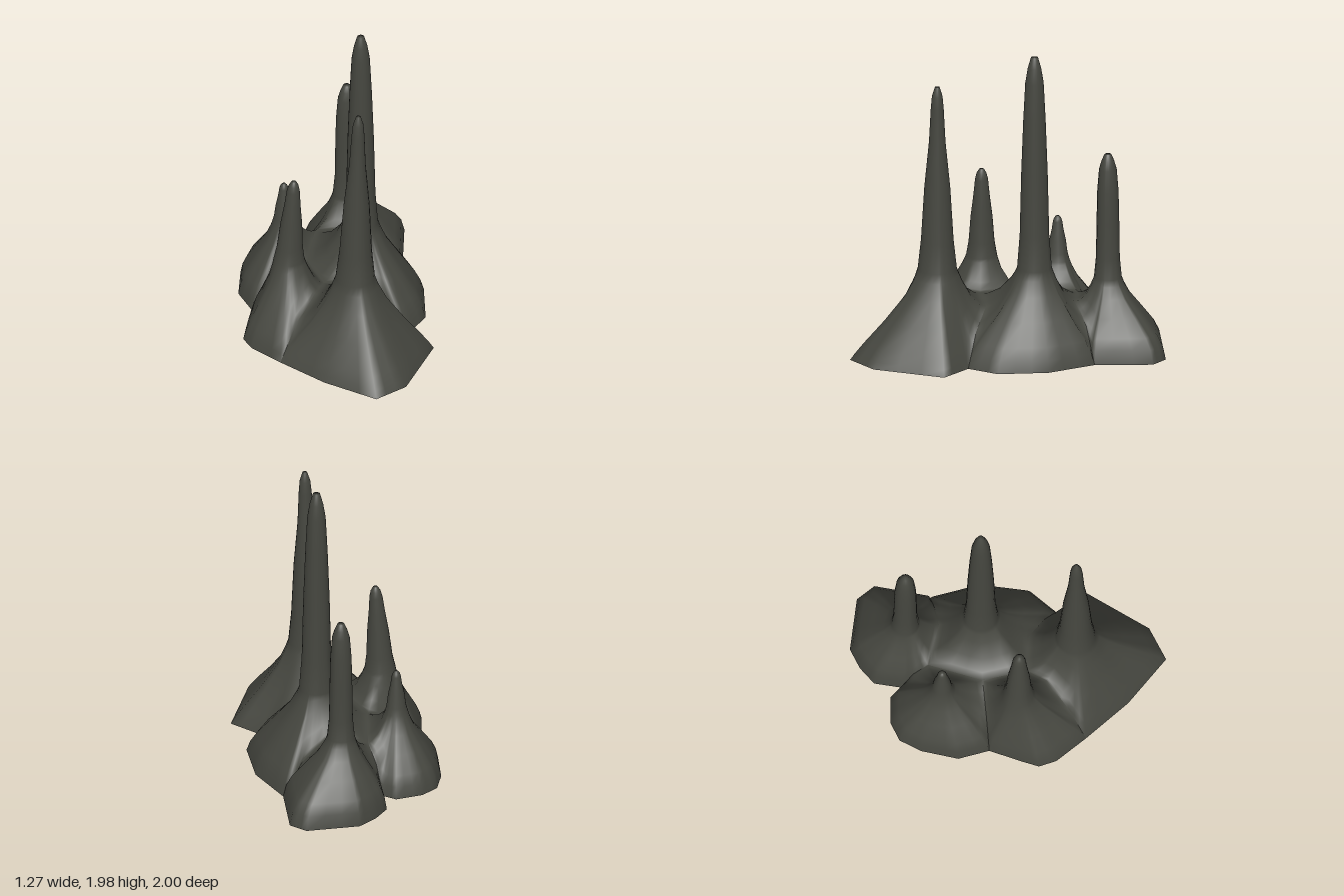
import * as THREE from 'three';

const { lerp } = THREE.MathUtils;
const rock = new THREE.MeshStandardMaterial({ color: 0x45463f, side: THREE.DoubleSide });
rock.name = 'dark rock';

// Skirt rows, from the ground (0) to the spire foot (1)
const SKIRT = [0, 0.07, 0.2, 0.5, 0.8, 0.94];
// Spire rows, from foot to tip, with radii relative to the foot for stout and slim spires
const RISE = [0, 0.16, 0.45, 0.7, 0.88, 0.95, 1];
const STOUT = [1, 0.86, 0.82, 0.77, 0.64, 0.45, 0.25];
const SLIM = [1, 0.83, 0.66, 0.42, 0.33, 0.27, 0.12];

const at = (x, z, y = 0) => new THREE.Vector3(x, y, z);

// A crease falls from a valley point to the ground between two mounds
function crease(valley, ground, t = 0.55) {
  const mid = valley.clone().lerp(ground, t);
  mid.y = valley.y * 0.65;
  return { valley, mid, ground };
}

// Split every boundary edge so the skirt and spire come out rounder
function subdivide(edge, n) {
  return edge.flatMap((p, i) =>
    Array.from({ length: n }, (_, k) => p.clone().lerp(edge[(i + 1) % edge.length], k / n)));
}

// Loft from the mound's boundary (clockwise from above) up its skirt and along the spire
function buildSpire({ x, z, foot, radius, tip, lean = 0, slim, bulge }, edge) {
  const border = subdivide(edge, 3), n = border.length;
  const pos = [], index = [];

  // Skirt: bulging down to the ground, hollowed down to a valley
  for (const u of SKIRT) {
    const outer = 0.8 * u ** bulge + 0.2 * u ** 6;
    for (const p of border) {
      const a = Math.atan2(p.z - z, p.x - x);
      const h = lerp(outer, u * u, Math.min(1, p.y / 0.3));
      pos.push(lerp(p.x, x + Math.cos(a) * radius, u), lerp(p.y, foot, h), lerp(p.z, z + Math.sin(a) * radius, u));
    }
  }
  // Spire
  RISE.forEach((t, row) => {
    const r = radius * lerp(STOUT[row], SLIM[row], slim);
    for (const p of border) {
      const a = Math.atan2(p.z - z, p.x - x);
      pos.push(x + lean * t + Math.cos(a) * r, lerp(foot, tip, t), z + Math.sin(a) * r);
    }
  });

  const rows = SKIRT.length + RISE.length;
  for (let r = 0; r < rows - 1; r++)
    for (let i = 0; i < n; i++) {
      const a = r * n + i, b = r * n + (i + 1) % n;
      index.push(b, a, a + n, b, a + n, b + n);
    }
  // Closed tip
  const last = (rows - 1) * n;
  pos.push(x + lean, tip, z);
  for (let i = 0; i < n; i++) index.push(last + (i + 1) % n, last + i, rows * n);

  const geo = new THREE.BufferGeometry();
  geo.setAttribute('position', new THREE.Float32BufferAttribute(pos, 3));
  geo.setIndex(index);
  geo.computeVertexNormals();
  return geo;
}

export function createModel() {
  const group = new THREE.Group();
  group.name = 'rockSpires';
  const addSpire = (name, shape, edge) => {
    const mesh = new THREE.Mesh(buildSpire(shape, edge), rock);
    mesh.name = name;
    group.add(mesh);
  };

  // Valleys where three mounds meet, and the creases that run out from them
  const backValley = at(-0.17, -0.44, 0.3);
  const sideValley = at(-0.2, -0.08, 0.31);
  const frontValley = at(-0.08, 0.18, 0.32);
  const backLeft = crease(at(0.1, -0.43, 0.33), at(0.38, -0.55));
  const frontLeft = crease(at(0.15, 0.14, 0.31), at(0.46, 0.25));
  const frontRight = crease(at(-0.12, 0.32, 0.33), at(-0.33, 0.62));
  const midRight = crease(sideValley, at(-0.545, 0.04));
  const backRight = crease(backValley, at(-0.25, -0.6));

  addSpire('tallestSpire',
    { x: 0.135, z: -0.166, foot: 0.57, radius: 0.11, tip: 1.98, slim: 0.35, bulge: 0.7 },
    [backLeft.ground, at(0.53, -0.26), at(0.56, 0.06), frontLeft.ground, frontLeft.mid, frontLeft.valley,
      frontValley, sideValley, backValley, backLeft.valley, backLeft.mid]);

  addSpire('frontSpire',
    { x: 0.135, z: 0.45, foot: 0.56, radius: 0.125, tip: 1.785, lean: 0.02, slim: 1, bulge: 0.9 },
    [frontLeft.ground, at(0.63, 0.4), at(0.48, 0.85), at(0.3, 1), at(-0.04, 0.83), frontRight.ground,
      frontRight.mid, frontRight.valley, frontValley, frontLeft.valley, frontLeft.mid]);

  addSpire('backSpire',
    { x: 0.02, z: -0.63, foot: 0.47, radius: 0.088, tip: 1.29, slim: 0, bulge: 0.55 },
    [backRight.ground, at(-0.26, -0.77), at(-0.18, -0.88), at(-0.07, -0.97), at(0.27, -1), at(0.37, -0.92),
      backLeft.ground, backLeft.mid, backLeft.valley, backValley, backRight.mid]);

  addSpire('sideSpire',
    { x: -0.3, z: 0.174, foot: 0.5, radius: 0.098, tip: 1.085, lean: 0.03, slim: 0.7, bulge: 0.75 },
    [frontRight.ground, at(-0.52, 0.47), at(-0.58, 0.37), at(-0.57, 0.25), midRight.ground,
      midRight.mid, sideValley, frontValley, frontRight.valley, frontRight.mid]);

  addSpire('smallSpire',
    { x: -0.36, z: -0.307, foot: 0.45, radius: 0.075, tip: 0.74, slim: 0.8, bulge: 0.6 },
    [midRight.ground, at(-0.64, -0.14), at(-0.64, -0.38), at(-0.6, -0.53), at(-0.5, -0.61), at(-0.33, -0.65),
      backRight.ground, backRight.mid, backValley, sideValley, midRight.mid]);

  return group;
}
